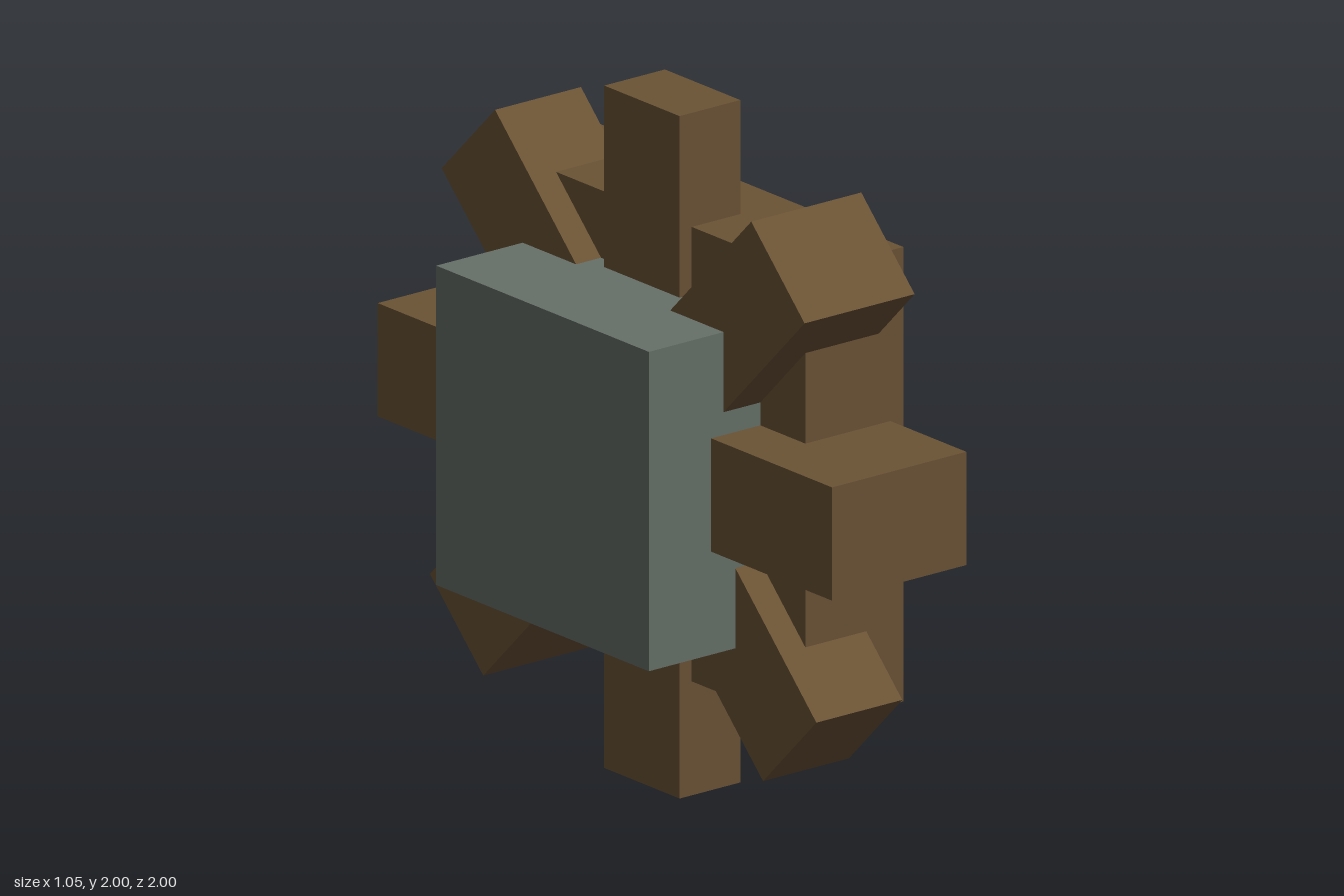
import * as THREE from 'three';

export function createModel() {
  const group = new THREE.Group();
  group.name = 'cogWheel';

  const wood = new THREE.MeshStandardMaterial({ color: 0x6b5335 });
  wood.name = 'brown wood';
  const stone = new THREE.MeshStandardMaterial({ color: 0x677069 });
  stone.name = 'grey stone';
  const brass = new THREE.MeshStandardMaterial({ color: 0xcca75f });
  brass.name = 'pale brass';

  // Box spanning x0..x1, centred at height y and depth z, turned about the axle
  function block(name, material, x0, x1, height, depth, y = 1, z = 0, turn = 0) {
    const mesh = new THREE.Mesh(new THREE.BoxGeometry(x1 - x0, height, depth), material);
    mesh.name = name;
    mesh.position.set((x0 + x1) / 2, y, z);
    mesh.rotation.x = turn;
    group.add(mesh);
  }

  // Square wheel body and the hub running through it
  block('wheelBody', wood, -0.132, 0.217, 1.332, 1.332);
  block('hub', stone, -0.529, 0.322, 0.936, 0.936);

  // Four crossing bars whose ends form the eight teeth
  const spans = [[-0.175, 0.041], [-0.263, 0.129], [-0.307, 0.171], [-0.221, 0.085]];
  spans.forEach(([x0, x1], i) => {
    block('toothBar' + (i + 1), wood, x0, x1, 2, 0.332, 1, 0, i * Math.PI / 4);
  });

  // Small off-centre peg on the hub face
  block('peg', brass, 0.32, 0.523, 0.145, 0.145, 1.004, -0.146);

  return group;
}
